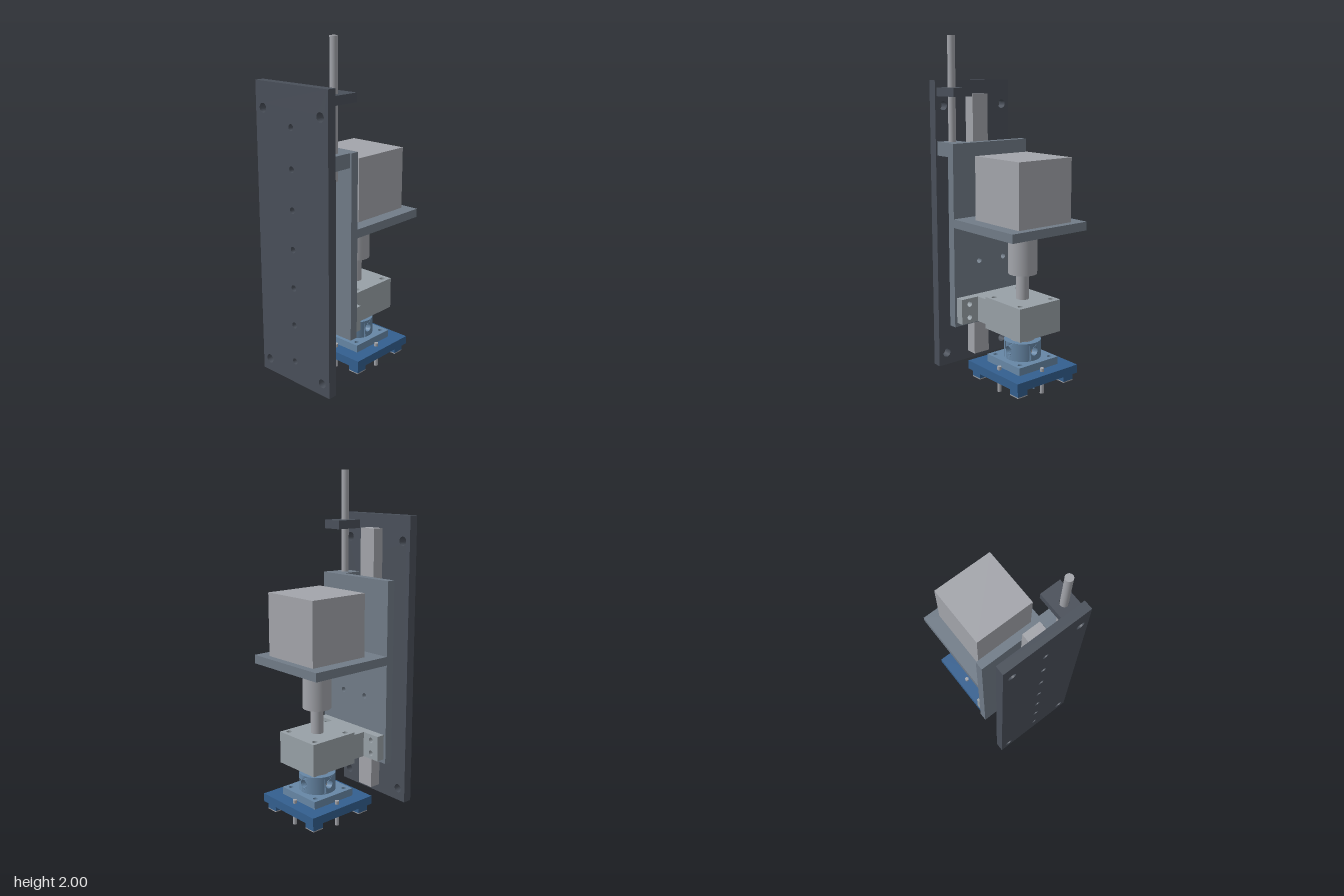
import * as THREE from 'three';

const C = { dark: 0x4a505a, slate: 0x717c88, steel: 0xa3a5ab, block: 0x98a1a7, blue: 0x335f8f, hub: 0x6787a6 };
const AXIS = -0.14; // z of the spindle axis

export function createModel() {
  const root = new THREE.Group();
  const mats = {};
  for (const k in C) mats[k] = new THREE.MeshStandardMaterial({ color: C[k] });

  const add = (name, geo, color, parent = root) => {
    const m = new THREE.Mesh(geo, mats[color]);
    m.name = name;
    parent.add(m);
    return m;
  };
  // box given by its ranges
  const box = (name, color, [x0, x1], [y0, y1], [z0, z1]) =>
    add(name, new THREE.BoxGeometry(x1 - x0, y1 - y0, z1 - z0), color)
      .position.set((x0 + x1) / 2, (y0 + y1) / 2, (z0 + z1) / 2);
  // upright cylinder
  const rod = (name, color, r, y0, y1, x = 0, z = AXIS, seg = 40) =>
    add(name, new THREE.CylinderGeometry(r, r, y1 - y0, seg), color).position.set(x, (y0 + y1) / 2, z);
  // rectangle with round holes [u, v, r], extruded
  const drilled = ([u0, u1], [v0, v1], depth, holes) => {
    const s = new THREE.Shape([[u0, v0], [u1, v0], [u1, v1], [u0, v1]].map(p => new THREE.Vector2(...p)));
    for (const [u, v, r] of holes) s.holes.push(new THREE.Path().absarc(u, v, r, 0, Math.PI * 2, true));
    return new THREE.ExtrudeGeometry(s, { depth, bevelEnabled: false, curveSegments: 24 });
  };
  // upright plate: holes in x, y
  const wall = (name, color, x, y, [z0, z1], holes) =>
    add(name, drilled(x, y, z1 - z0, holes).translate(0, 0, z0), color);
  // flat plate: holes in x, z
  const slab = (name, color, x, [y0, y1], [z0, z1], holes) =>
    add(name, drilled(x, [-z1, -z0], y1 - y0, holes.map(([u, w, r]) => [u, -w, r]))
      .rotateX(-Math.PI / 2).translate(0, y0, 0), color);
  const corners = (d, r, cz = 0) => [[-d, cz - d, r], [d, cz - d, r], [d, cz + d, r], [-d, cz + d, r]];

  // mounting plate with corner holes and a row of rail holes
  const holes = [];
  for (const x of [-0.215, 0.215]) for (const y of [0.105, 1.605]) holes.push([x, y, 0.026]);
  for (let i = 0; i < 7; i++) holes.push([0, 0.165 + i * 0.2267, 0.018]);
  wall('mountingPlate', 'dark', [-0.27, 0.27], [0.03, 1.75], [0.32, 0.375], holes);

  // linear guide
  box('guideRail', 'steel', [-0.055, 0.055], [0.08, 1.67], [0.25, 0.32]);
  box('guideCarriage', 'steel', [-0.12, 0.12], [0.59, 1.0], [0.2, 0.305]);

  // sliding plate
  const slideHoles = [];
  for (const x of [-0.09, 0.09]) for (const y of [0.7, 0.88]) slideHoles.push([x, y, 0.016]);
  wall('slidePlate', 'slate', [-0.27, 0.27], [0.325, 1.4], [0.15, 0.2], slideHoles);

  // lift rod with its guide bracket and nut block
  slab('rodBracket', 'dark', [0.135, 0.26], [1.66, 1.71], [0.15, 0.32], [[0.198, 0.257, 0.025]]);
  slab('rodBlock', 'slate', [0.135, 0.26], [1.32, 1.4], [0.2, 0.32], [[0.198, 0.257, 0.0225]]);
  rod('liftRod', 'steel', 0.022, 1.25, 2, 0.198, 0.257, 32);

  // motor on its shelf
  slab('motorShelf', 'slate', [-0.27, 0.27], [0.92, 0.97], [-0.375, 0.15],
    [[0, AXIS, 0.097], ...corners(0.139, 0.014, AXIS)]);
  box('motor', 'steel', [-0.19, 0.19], [0.97, 1.335], [-0.33, 0.05]);

  // spindle
  rod('motorShaft', 'steel', 0.022, 0.87, 0.98);
  rod('coupling', 'steel', 0.083, 0.67, 0.89);
  rod('spindleShaft', 'steel', 0.037, 0.5, 0.68);
  rod('spindleNose', 'steel', 0.07, 0.2, 0.34);

  // bearing block with neck and drilled ears
  slab('bearingBlock', 'block', [-0.15, 0.15], [0.33, 0.52], [-0.295, 0.015], corners(0.115, 0.016, AXIS));
  box('bearingNeck', 'block', [-0.14, 0.14], [0.35, 0.5], [0.015, 0.1]);
  const earHoles = [];
  for (const x of [-0.2, 0.2]) for (const y of [0.385, 0.465]) earHoles.push([x, y, 0.016]);
  wall('bearingEars', 'block', [-0.255, 0.255], [0.35, 0.5], [0.1, 0.15], earHoles);

  // hub sleeve: four drilled panels bent round the axis, joined by plain arcs
  const hub = new THREE.Group();
  hub.name = 'hub';
  hub.position.z = AXIS;
  root.add(hub);
  const R = 0.107, T = 0.036, half = 0.32, y0 = 0.175, y1 = 0.28;
  for (let q = 0; q < 4; q++) {
    const a = q * Math.PI / 2;
    const s = new THREE.Shape();
    for (let i = 0; i <= 8; i++) s.lineTo(R * half * (i / 4 - 1), y0);
    for (let i = 8; i >= 0; i--) s.lineTo(R * half * (i / 4 - 1), y1);
    s.holes.push(new THREE.Path().absarc(0, 0.23, 0.025, 0, Math.PI * 2, true));
    const g = new THREE.ExtrudeGeometry(s, { depth: T, bevelEnabled: false, curveSegments: 16 });
    const p = g.attributes.position;
    for (let i = 0; i < p.count; i++) {
      const t = p.getX(i) / R, r = R - T + p.getZ(i);
      p.setXYZ(i, r * Math.sin(t), p.getY(i), r * Math.cos(t));
    }
    g.computeVertexNormals();
    add('hubPort', g.rotateY(a), 'hub', hub);
    const arc = new THREE.CylinderGeometry(R, R, y1 - y0, 12, 1, true, a + half, Math.PI / 2 - 2 * half);
    add('hubWall', arc.translate(0, (y0 + y1) / 2, 0), 'hub', hub);
  }
  add('hubRim', new THREE.RingGeometry(0.068, R, 40).rotateX(-Math.PI / 2).translate(0, y1, 0), 'hub', hub);

  // square flange and tool plate
  slab('hubFlange', 'hub', [-0.145, 0.145], [0.13, 0.175], [-0.285, 0.005],
    [[0, AXIS, 0.08], ...corners(0.11, 0.014, AXIS)]);
  slab('toolPlate', 'blue', [-0.225, 0.225], [0.08, 0.13], [-0.365, 0.085], [[0, AXIS, 0.095]]);

  // corner feet with soles, and pins at the middle of each edge
  for (const [x, z] of corners(0.172, 0, AXIS)) {
    box('foot', 'blue', [x - 0.035, x + 0.035], [0.04, 0.08], [z - 0.035, z + 0.035]);
    box('footSole', 'steel', [x - 0.035, x + 0.035], [0.034, 0.04], [z - 0.035, z + 0.035]);
  }
  for (const [dx, dz] of [[1, 0], [-1, 0], [0, 1], [0, -1]])
    rod('pin', 'steel', 0.012, 0, 0.15, dx * 0.172, AXIS + dz * 0.172, 20);

  return root;
}
